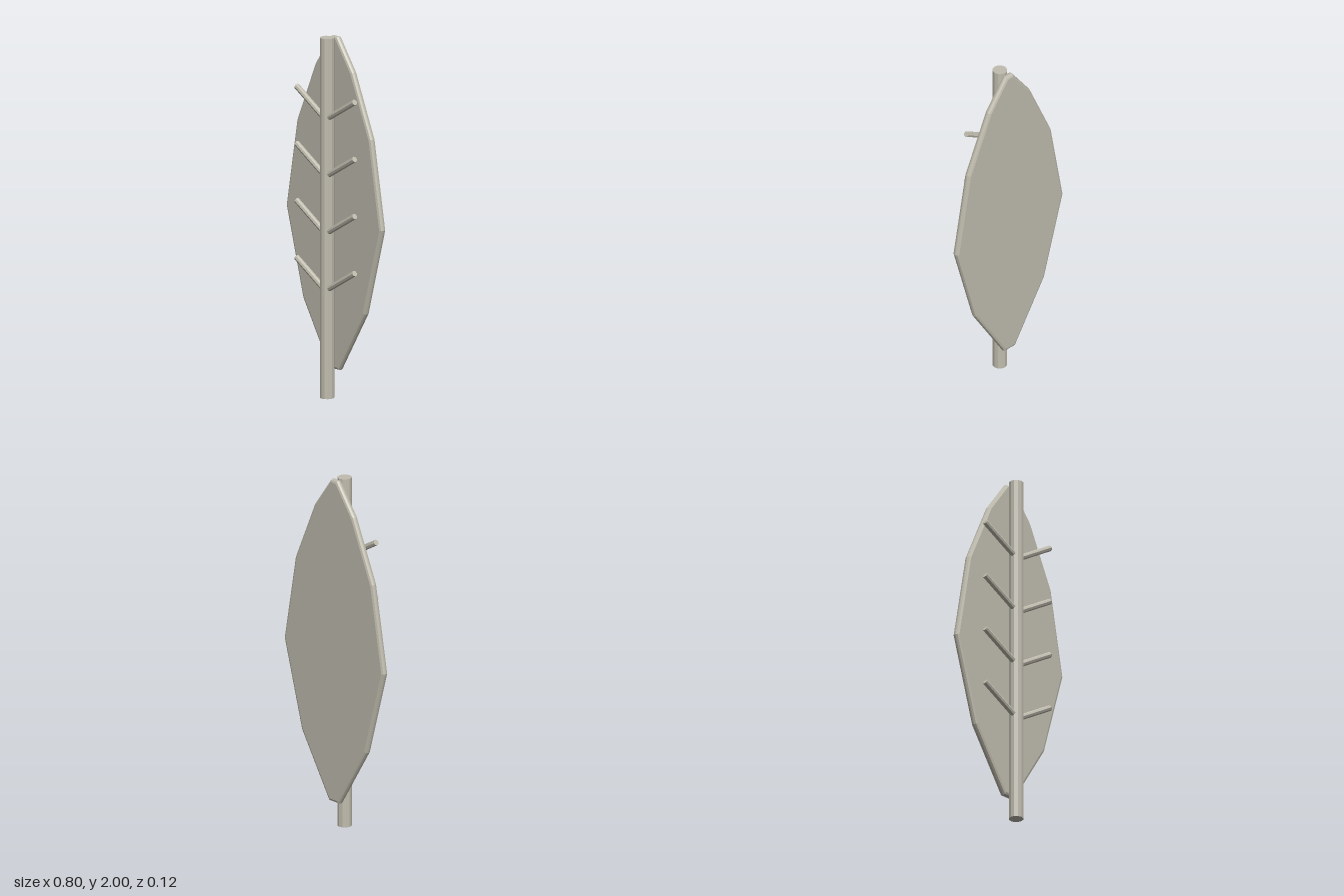
import * as THREE from 'three';

export function createModel() {
  const group = new THREE.Group();
  const leafGrey = new THREE.MeshStandardMaterial({ color: 0xc0bcae, flatShading: true });

  const add = (name, geometry, x, y, z) => {
    const mesh = new THREE.Mesh(geometry, leafGrey);
    mesh.name = name;
    mesh.position.set(x, y, z);
    group.add(mesh);
    return mesh;
  };

  // Blade: a mirrored angular outline, thin with a rounded rim
  const half = [[0.04, 0.15], [0.26, 0.5], [0.4, 0.99], [0.31, 1.48], [0.155, 1.825], [0.025, 2]];
  const outline = [...half, ...half.map(([x, y]) => [-x, y]).reverse()];
  const shape = new THREE.Shape(outline.map(([x, y]) => new THREE.Vector2(x, y)));
  const bevel = 0.015;
  add('blade', new THREE.ExtrudeGeometry(shape, {
    depth: 0.008, bevelThickness: bevel, bevelSize: bevel, bevelOffset: -bevel, bevelSegments: 2,
  }), 0, 0, -0.047);

  // Central stem
  add('stem', new THREE.CylinderGeometry(0.04, 0.04, 2, 12), 0, 1, 0.02);

  // Four pairs of side veins rising outward at 30 degrees
  const start = new THREE.Vector2(0.031, 0.613), end = new THREE.Vector2(0.243, 0.736);
  const length = start.distanceTo(end);
  for (let i = 0; i < 4; i++) {
    for (const side of [1, -1]) {
      const vein = add(side > 0 ? 'leftVein' : 'rightVein',
        new THREE.CylinderGeometry(0.016, 0.016, length, 8),
        side * (start.x + end.x) / 2, (start.y + end.y) / 2 + i * 0.317, 0.03);
      vein.rotation.z = -side * Math.PI / 3;
    }
  }
  return group;
}
